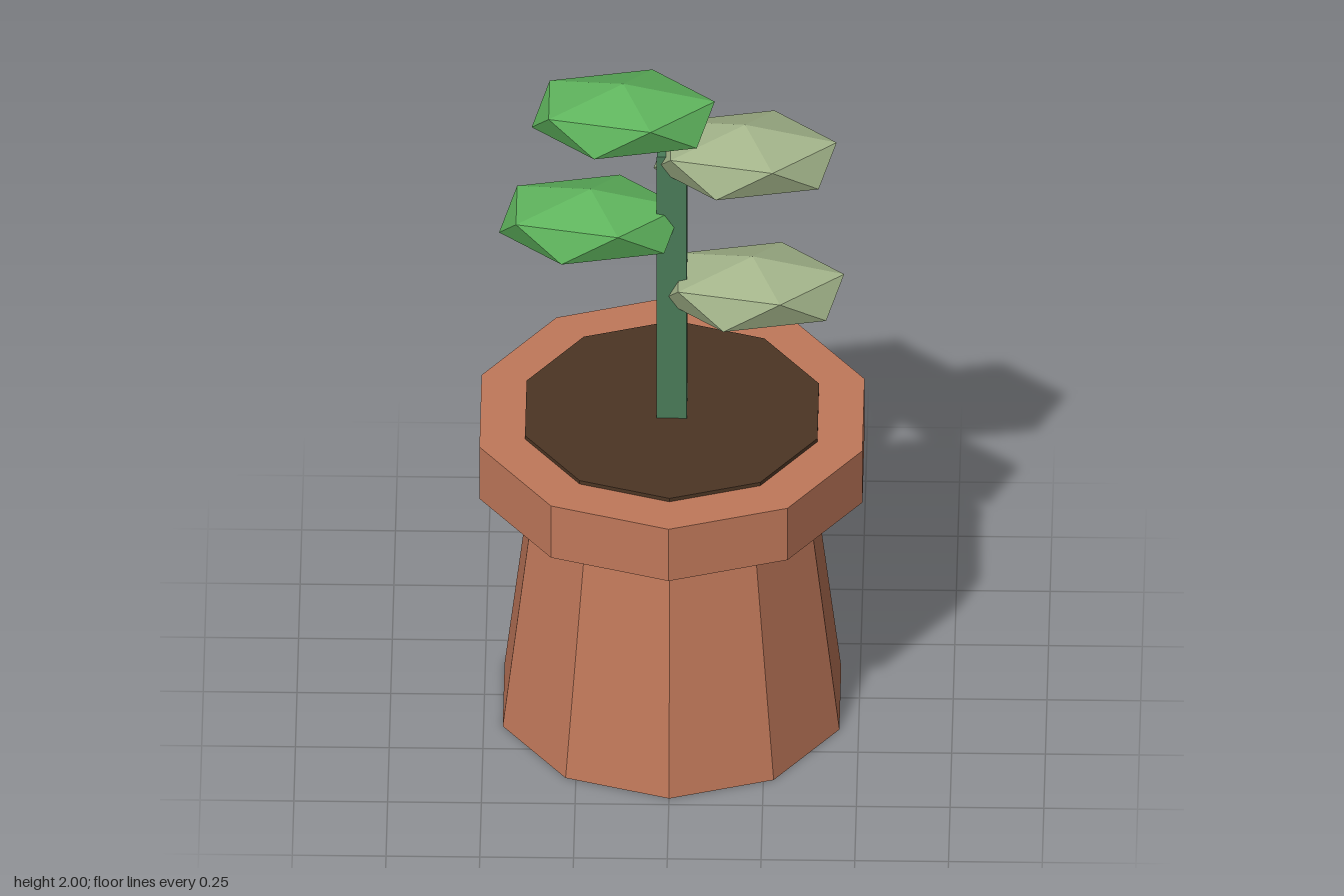
import * as THREE from 'three';

const material = (name, color) => {
  const m = new THREE.MeshStandardMaterial({ color, flatShading: true });
  m.name = name;
  return m;
};

export function createModel() {
  const model = new THREE.Group();
  model.name = 'pottedPlant';

  const terracotta = material('terracotta', 0xc0785a);
  const soilBrown = material('soil brown', 0x4c3524);
  const stemGreen = material('stem green', 0x4a7c59);
  const leafGreen = material('leaf green', 0x5fb45d);
  const sage = material('sage', 0xa3b48a);

  const add = (name, geometry, mat, x, y) => {
    const mesh = new THREE.Mesh(geometry, mat);
    mesh.name = name;
    mesh.position.set(x, y, 0);
    model.add(mesh);
  };

  // Ten-sided ring section standing between two heights
  const drum = (name, mat, rTop, rBottom, y0, y1) =>
    add(name, new THREE.CylinderGeometry(rTop, rBottom, y1 - y0, 10), mat, 0, (y0 + y1) / 2);

  // Tapered pot, overhanging rim and soil
  drum('potBody', terracotta, 0.38, 0.472, 0, 0.76);
  drum('potRim', terracotta, 0.537, 0.537, 0.757, 0.926);
  drum('soil', soilBrown, 0.41, 0.41, 0.9, 0.937);

  // Square stem
  add('stem', new THREE.BoxGeometry(0.08, 0.88, 0.08), stemGreen, 0, 1.35);

  // Leaves: icosahedra standing on a corner, flattened and lengthened
  const leaf = new THREE.IcosahedronGeometry(1, 0);
  leaf.rotateZ(-Math.atan(2 / (1 + Math.sqrt(5))));
  leaf.scale(0.273, 0.1, 0.171);
  add('lowerRightLeaf', leaf, leafGreen, -0.217, 1.555);
  add('upperRightLeaf', leaf, leafGreen, -0.13, 1.9);
  add('lowerLeftLeaf', leaf, sage, 0.215, 1.34);
  add('upperLeftLeaf', leaf, sage, 0.195, 1.77);

  return model;
}
